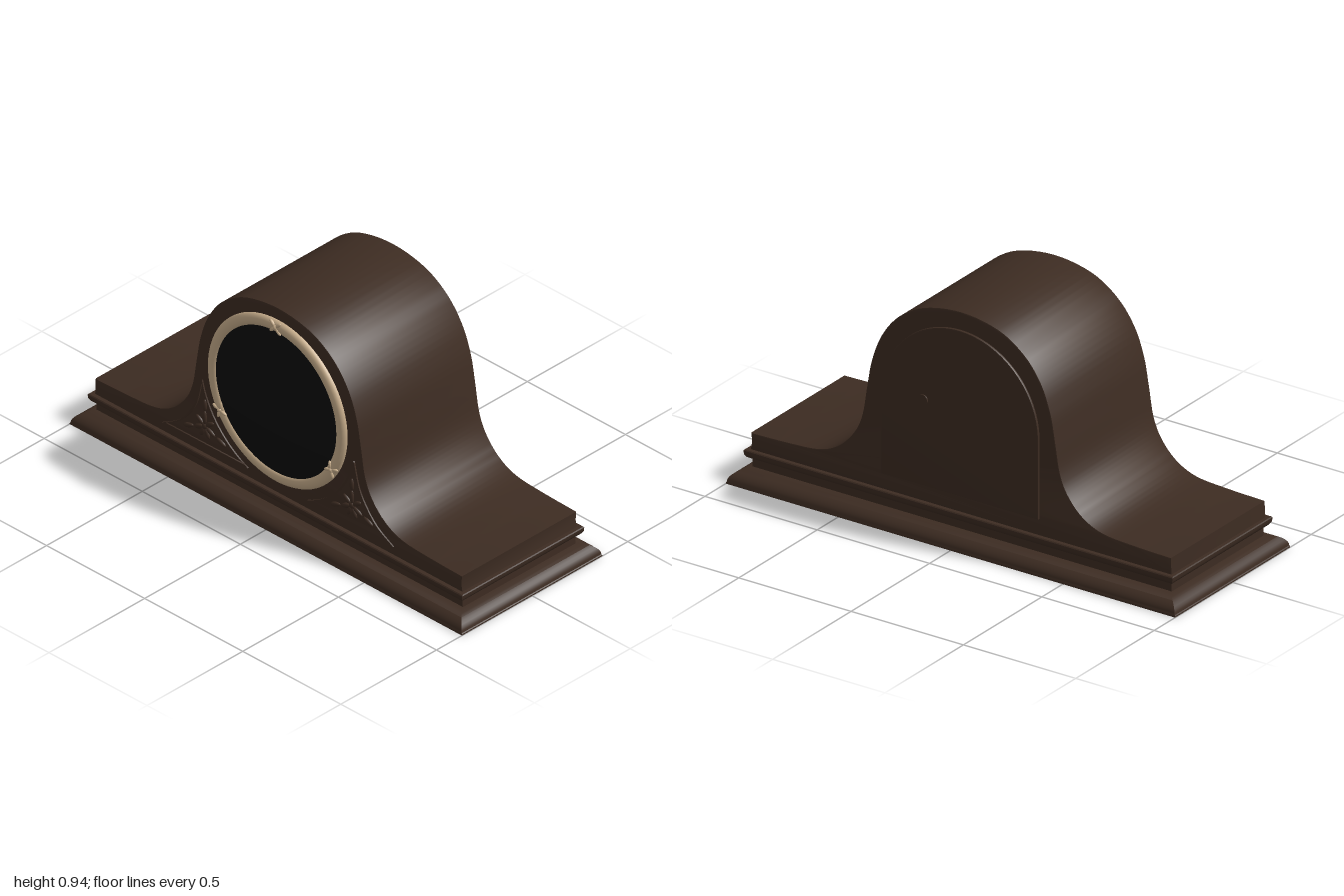
import * as THREE from 'three';
import { toCreasedNormals } from 'three/addons/utils/BufferGeometryUtils.js';

const paint = (name, color) => {
  const m = new THREE.MeshStandardMaterial({ color });
  m.name = name;
  return m;
};
const V2 = (x, y) => new THREE.Vector2(x, y);

// Rectangular moulding: [halfX, halfZ, y] sections joined by mitred sides and capped
function moulding(sections) {
  const pos = [];
  const ring = ([x, z, y]) => [[-x, y, z], [x, y, z], [x, y, -z], [-x, y, -z]];
  const quad = (a, b, c, d) => pos.push(...a, ...b, ...c, ...a, ...c, ...d);
  for (let i = 0; i < sections.length - 1; i++) {
    const lo = ring(sections[i]), hi = ring(sections[i + 1]);
    for (let k = 0; k < 4; k++) {
      const n = (k + 1) % 4;
      quad(lo[k], lo[n], hi[n], hi[k]);
    }
  }
  quad(...ring(sections[0]).reverse());
  quad(...ring(sections[sections.length - 1]));
  const g = new THREE.BufferGeometry();
  g.setAttribute('position', new THREE.Float32BufferAttribute(pos, 3));
  return toCreasedNormals(g, 0.6);
}

// Extrude a shape between two depths with a small inset bevel
function slab(shape, z0, z1, bevel) {
  const g = new THREE.ExtrudeGeometry(shape, {
    depth: z1 - z0 - 2 * bevel, bevelEnabled: bevel > 0, bevelThickness: bevel,
    bevelSize: bevel, bevelOffset: -bevel, bevelSegments: 2, curveSegments: 32,
  });
  g.translate(0, 0, z0 + bevel);
  return toCreasedNormals(g, 0.5);
}

export function createModel() {
  const model = new THREE.Group();
  model.name = 'mantelClock';
  const wood = paint('dark walnut', 0x3d2c22);
  const brass = paint('pale brass', 0xc8ae8c);
  const black = paint('black glass', 0x0b0b0b);
  const add = (name, geo, mat, parent = model) => {
    const m = new THREE.Mesh(geo, mat);
    m.name = name;
    parent.add(m);
    return m;
  };

  // Flared foot, plinth and projecting band
  const foot = [[1, 0.367, 0], [1, 0.367, 0.005]];
  for (let i = 0; i <= 8; i++) {
    const a = (i / 8) * Math.PI / 2 * 0.85;
    const out = 0.072 * (Math.cos(a) - 0.233) / 0.767;
    foot.push([0.925 + out, 0.293 + out, 0.008 + 0.052 * Math.sin(a) / 0.972]);
  }
  add('foot', moulding(foot), wood);
  add('plinth', moulding([[0.933, 0.294, 0.055], [0.933, 0.294, 0.1]]), wood);
  add('band', moulding([
    [0.937, 0.3, 0.095], [0.946, 0.31, 0.1], [0.953, 0.318, 0.112],
    [0.955, 0.319, 0.127], [0.952, 0.316, 0.131],
  ]), wood);

  // Tambour case
  const half = [
    [0.935, 0.197], [0.77, 0.202], [0.63, 0.214], [0.54, 0.255], [0.475, 0.325], [0.44, 0.405],
    [0.42, 0.52], [0.398, 0.635], [0.355, 0.745], [0.28, 0.84], [0.165, 0.91],
  ];
  const outline = [
    ...half.map(([x, y]) => V2(x, y)), V2(0, 0.937),
    ...half.slice().reverse().map(([x, y]) => V2(-x, y)),
  ];
  const caseShape = new THREE.Shape([
    V2(-0.938, 0.125), V2(0.938, 0.125), V2(0.932, 0.16),
    ...new THREE.SplineCurve(outline).getPoints(110),
  ]);
  add('case', slab(caseShape, -0.3, 0.3, 0.005), wood);

  // Arched back door with its knob
  const door = new THREE.Shape();
  door.moveTo(-0.35, 0.197);
  door.lineTo(0.35, 0.197);
  door.lineTo(0.35, 0.515);
  door.absarc(0, 0.515, 0.35, 0, Math.PI, false);
  door.closePath();
  add('backDoor', slab(door, -0.31, -0.296, 0.003), wood);
  const knob = add('doorKnob', new THREE.CylinderGeometry(0.02, 0.02, 0.008, 20), wood);
  knob.rotation.x = Math.PI / 2;
  knob.position.set(0.16, 0.545, -0.311);

  // Bezel and domed glass
  const face = new THREE.Group();
  face.name = 'clockFace';
  face.position.set(0, 0.535, 0.3);
  model.add(face);
  const bezelProfile = [
    [0.352, -0.002], [0.352, 0.006], [0.347, 0.014], [0.338, 0.019],
    [0.327, 0.021], [0.316, 0.019], [0.308, 0.014], [0.303, 0.006],
  ].map(([r, z]) => V2(r, z));
  add('bezel', new THREE.LatheGeometry(bezelProfile, 72).rotateX(Math.PI / 2), brass, face);
  const dome = [];
  for (let i = 0; i <= 12; i++) {
    const r = 0.307 * (1 - i / 12);
    dome.push(V2(r, 0.013 + 0.029 * (1 - (r / 0.307) ** 2)));
  }
  add('glass', new THREE.LatheGeometry(dome, 72).rotateX(Math.PI / 2), black, face);

  // Three ribbon ties on the bezel
  const bead = new THREE.SphereGeometry(1, 14, 10);
  for (const deg of [90, 210, 330]) {
    const tie = new THREE.Group();
    tie.name = 'bezelTie';
    const a = THREE.MathUtils.degToRad(deg);
    tie.position.set(0.328 * Math.cos(a), 0.328 * Math.sin(a), 0.017);
    tie.rotation.z = a - Math.PI / 2;
    face.add(tie);
    add('tieKnot', bead, brass, tie).scale.set(0.009, 0.011, 0.01);
    for (const sx of [-1, 1]) for (const sy of [-1, 1]) {
      const leaf = add('tieLeaf', bead, brass, tie);
      leaf.scale.set(0.018, 0.007, 0.007);
      leaf.position.set(sx * 0.014, sy * 0.013, 0);
      leaf.rotation.z = sx * sy * 0.75;
    }
  }

  // Carved corner panels: curved triangular frame with a leafy flower
  for (const s of [1, -1]) {
    const carving = new THREE.Group();
    carving.name = s > 0 ? 'leftCarving' : 'rightCarving';
    model.add(carving);
    const pts = [];
    for (let i = 0; i <= 16; i++) {
      const a = -1.178 + (0.958 * i) / 16;
      pts.push(V2(0.395 * Math.cos(a), 0.535 + 0.395 * Math.sin(a)));
    }
    pts.push(...new THREE.SplineCurve([
      V2(0.39, 0.445), V2(0.415, 0.345), V2(0.455, 0.275), V2(0.51, 0.215), V2(0.59, 0.168),
    ]).getPoints(16));
    const c = V2(0.375, 0.25);
    const scaled = (k) => pts.map((p) => V2(s * (c.x + (p.x - c.x) * k), c.y + (p.y - c.y) * k));
    const frame = new THREE.Shape(scaled(1));
    frame.holes.push(new THREE.Path(scaled(0.91)));
    add('carvingFrame', slab(frame, 0.297, 0.306, 0), wood, carving);

    // [angle in degrees, distance, length]
    const petals = [
      [90, 0.035, 0.03], [35, 0.03, 0.024], [-25, 0.032, 0.026], [-65, 0.03, 0.024],
      [-115, 0.03, 0.024], [-155, 0.032, 0.026], [145, 0.03, 0.024],
      [90, 0.09, 0.026], [-22, 0.09, 0.026], [-158, 0.09, 0.026],
    ];
    for (const [deg, d, len] of petals) {
      const a = THREE.MathUtils.degToRad(deg);
      const petal = add('carvedPetal', bead, wood, carving);
      petal.scale.set(len, 0.01, 0.009);
      petal.position.set(s * (c.x + d * Math.cos(a)), c.y + d * Math.sin(a), 0.3);
      petal.rotation.z = s * a;
    }
    const heart = add('carvedHeart', bead, wood, carving);
    heart.scale.set(0.014, 0.014, 0.01);
    heart.position.set(s * c.x, c.y, 0.3);
  }
  return model;
}
